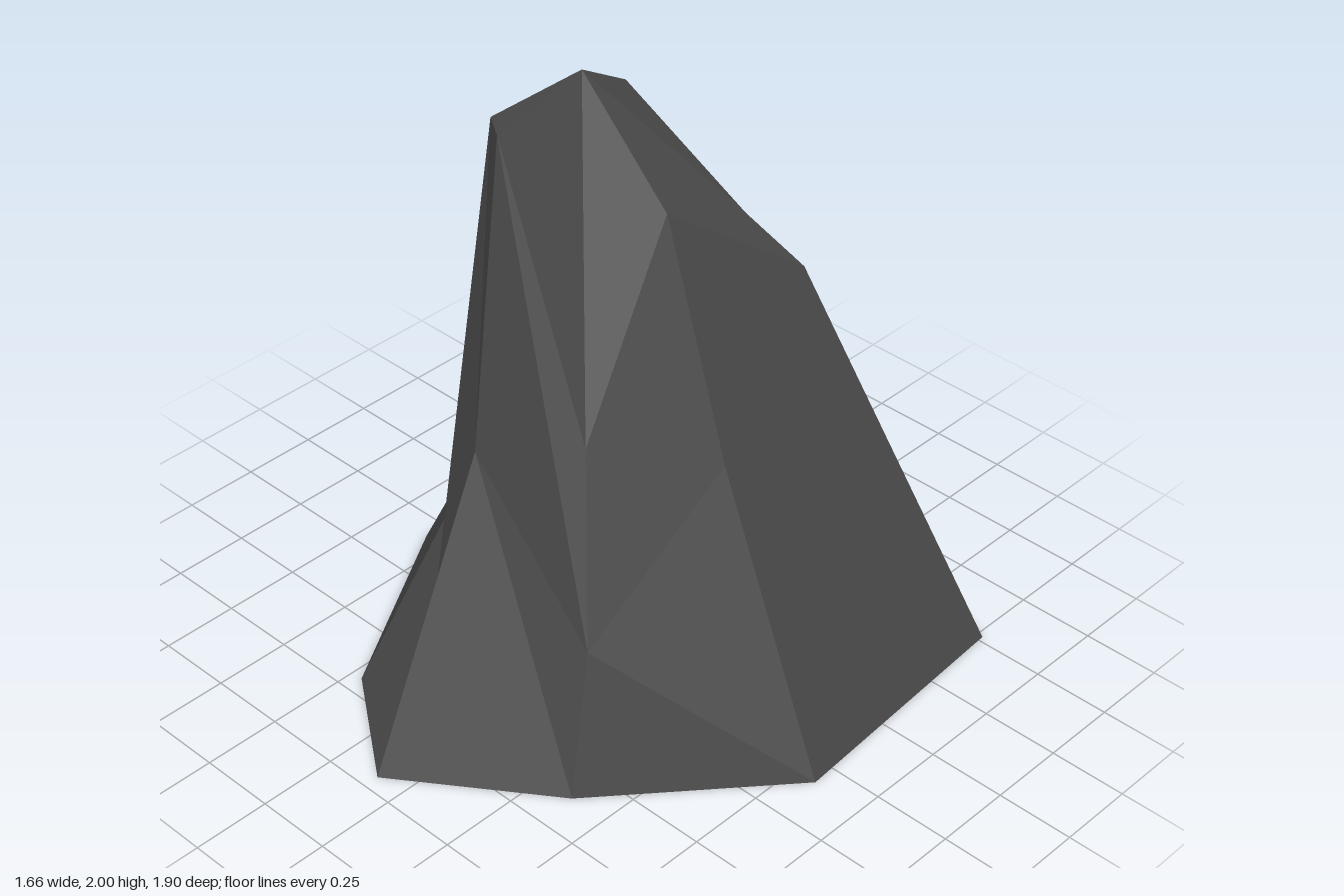
import * as THREE from 'three';

// Rings of eight corners, running front, front-left, left, back-left, back, back-right, right, front-right
const BASE = [
  [-0.10, 0, 0.95], [0.37, 0, 0.62], [0.83, 0, 0.08], [0.77, 0, -0.77],
  [-0.10, 0, -0.95], [-0.71, 0, -0.54], [-0.83, 0, 0.08], [-0.46, 0, 0.69],
];
const MIDDLE = [
  [-0.10, 0.95, 0.52], [0.34, 0.47, 0.52], [0.45, 0.95, 0.08], [0.34, 1.36, -0.36],
  [-0.10, 0.95, -0.55], [-0.54, 0.58, -0.36], [-0.42, 0.77, 0.08], [-0.29, 0.36, 0.52],
];
const TOP = [
  [-0.10, 1.93, 0.40], [0.22, 1.06, 0.40], [0.22, 1.68, 0.08], [0.22, 1.54, -0.24],
  [-0.10, 1.90, -0.09], [-0.26, 1.53, -0.24], [-0.41, 1.45, 0.08], [-0.22, 1.90, 0.31],
];
const PEAK = [-0.10, 2, 0.08];
const FOOT = [-0.10, 0, 0.08];

function rockGeometry() {
  const points = [];
  const triangle = (a, b, c) => points.push(...a, ...b, ...c);
  for (let i = 0; i < 8; i++) {
    const j = (i + 1) % 8;
    // underside and peak fans
    triangle(FOOT, BASE[j], BASE[i]);
    triangle(TOP[i], TOP[j], PEAK);
    // sloping sides
    for (const [low, high] of [[BASE, MIDDLE], [MIDDLE, TOP]]) {
      triangle(low[i], low[j], high[i]);
      triangle(high[i], low[j], high[j]);
    }
  }
  const geometry = new THREE.BufferGeometry();
  geometry.setAttribute('position', new THREE.Float32BufferAttribute(points, 3));
  geometry.computeVertexNormals();
  return geometry;
}

export function createModel() {
  const stone = new THREE.MeshStandardMaterial({ color: 0x4b4b4b, flatShading: true });
  stone.name = 'dark grey stone';

  const rock = new THREE.Mesh(rockGeometry(), stone);
  rock.name = 'rock';

  const group = new THREE.Group();
  group.name = 'rockSpire';
  group.add(rock);
  return group;
}
